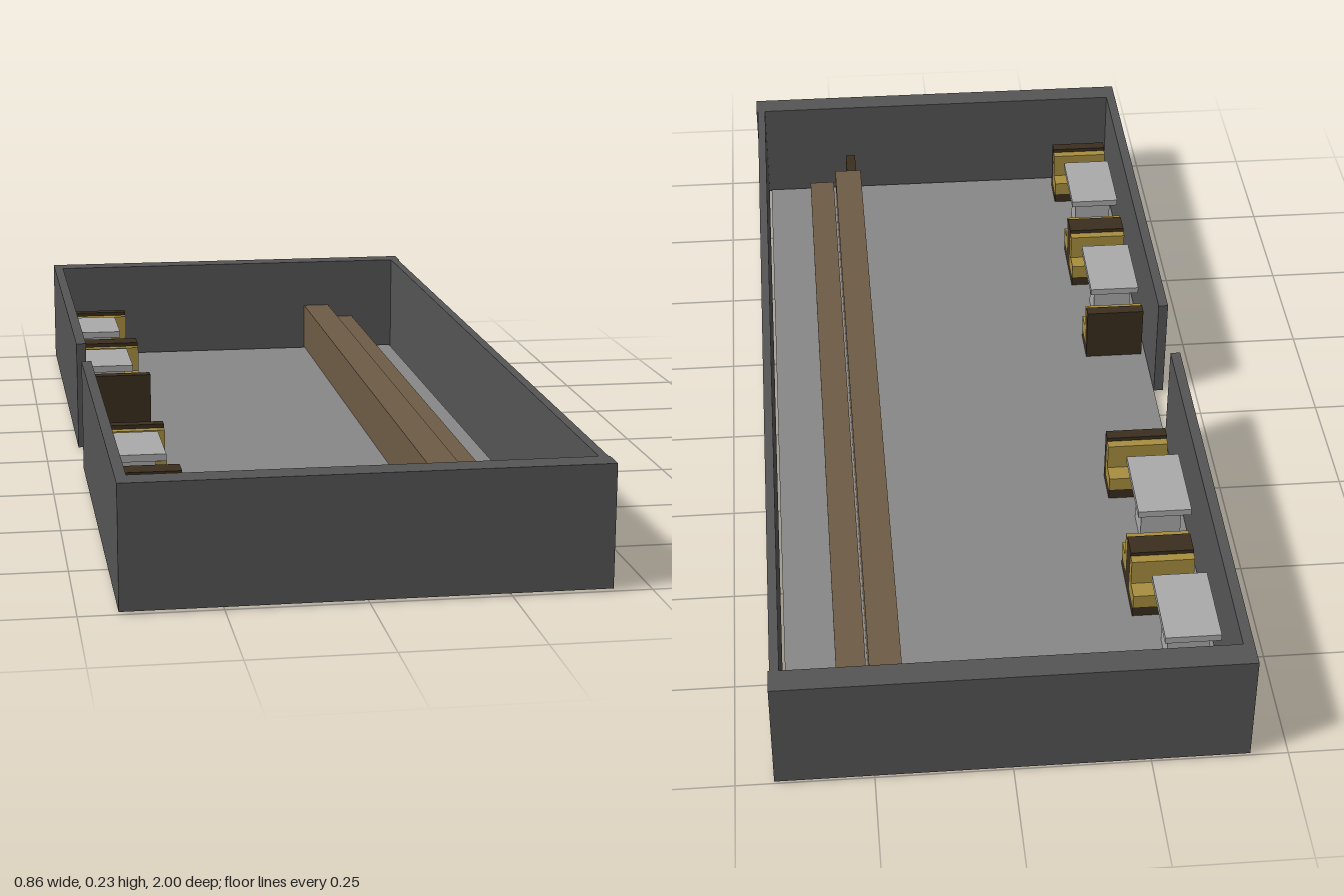
import * as THREE from 'three';

const paint = (color) => new THREE.MeshStandardMaterial({ color });

export function createModel() {
  const model = new THREE.Group();
  const wallMat = paint(0x555555);
  const floorMat = paint(0x888888);
  const tableMat = paint(0xaaaaaa);
  const counterMat = paint(0x6e5c46);
  const darkMat = paint(0x3a2e1e);
  const cushionMat = paint(0xa88e3e);

  // Box given by its minimum and maximum corners
  function block(parent, name, mat, [x0, y0, z0], [x1, y1, z1]) {
    const mesh = new THREE.Mesh(new THREE.BoxGeometry(x1 - x0, y1 - y0, z1 - z0), mat);
    mesh.position.set((x0 + x1) / 2, (y0 + y1) / 2, (z0 + z1) / 2);
    mesh.name = name;
    parent.add(mesh);
  }

  const floorY = 0.015, low = 0.005, high = 0.23;

  // Floor and walls, with a doorway in the -x wall
  block(model, 'floor', floorMat, [-0.408, 0, -0.94], [0.405, floorY, 0.94]);
  block(model, 'frontWall', wallMat, [-0.43, low, 0.95], [0.43, high, 1]);
  block(model, 'backWall', wallMat, [-0.43, low, -1], [0.43, high, -0.95]);
  block(model, 'counterSideWall', wallMat, [0.41, low, -0.95], [0.427, high, 0.95]);
  block(model, 'doorSideWallBack', wallMat, [-0.43, low, -0.95], [-0.41, high, -0.085]);
  block(model, 'doorSideWallFront', wallMat, [-0.43, low, 0.082], [-0.41, high, 0.95]);

  // Long counter, lower work shelf behind it, and a gate at its end
  block(model, 'counter', counterMat, [0.19, floorY, -0.95], [0.25, 0.12, 0.845]);
  block(model, 'workShelf', counterMat, [0.255, floorY, -0.95], [0.31, 0.09, 0.845]);
  block(model, 'counterGate', darkMat, [0.2, floorY, 0.845], [0.222, 0.11, 0.93]);

  // Bench: the back is at z = 0 and the seat reaches towards local +z
  function bench(x, z, dir) {
    const group = new THREE.Group();
    group.name = 'bench';
    const w = 0.061;
    block(group, 'benchBack', darkMat, [-w, floorY, 0], [w, 0.13, 0.024]);
    block(group, 'benchBase', darkMat, [-w, floorY, 0.024], [w, 0.038, 0.076]);
    block(group, 'backCushion', cushionMat, [-w, 0.038, 0.024], [w, 0.122, 0.042]);
    block(group, 'seatCushion', cushionMat, [-w, 0.038, 0.042], [w, 0.068, 0.079]);
    group.position.set(x, 0, z);
    if (dir < 0) group.rotation.y = Math.PI;
    model.add(group);
  }

  // Table on a central pedestal
  function table(z) {
    const group = new THREE.Group();
    group.name = 'table';
    block(group, 'tableTop', tableMat, [-0.4, 0.118, -0.086], [-0.295, 0.132, 0.086]);
    block(group, 'tablePedestal', tableMat, [-0.39, floorY, -0.035], [-0.31, 0.118, 0.035]);
    group.position.z = z;
    model.add(group);
  }

  // Two rows of booths: end benches, two tables, and a double bench between
  for (const [x, z] of [[-0.325, -0.558], [-0.338, 0.555]]) {
    bench(x, z - 0.352, 1);
    bench(x, z, -1);
    bench(x, z, 1);
    bench(x, z + 0.352, -1);
    table(z - 0.178);
    table(z + 0.178);
  }
  return model;
}
